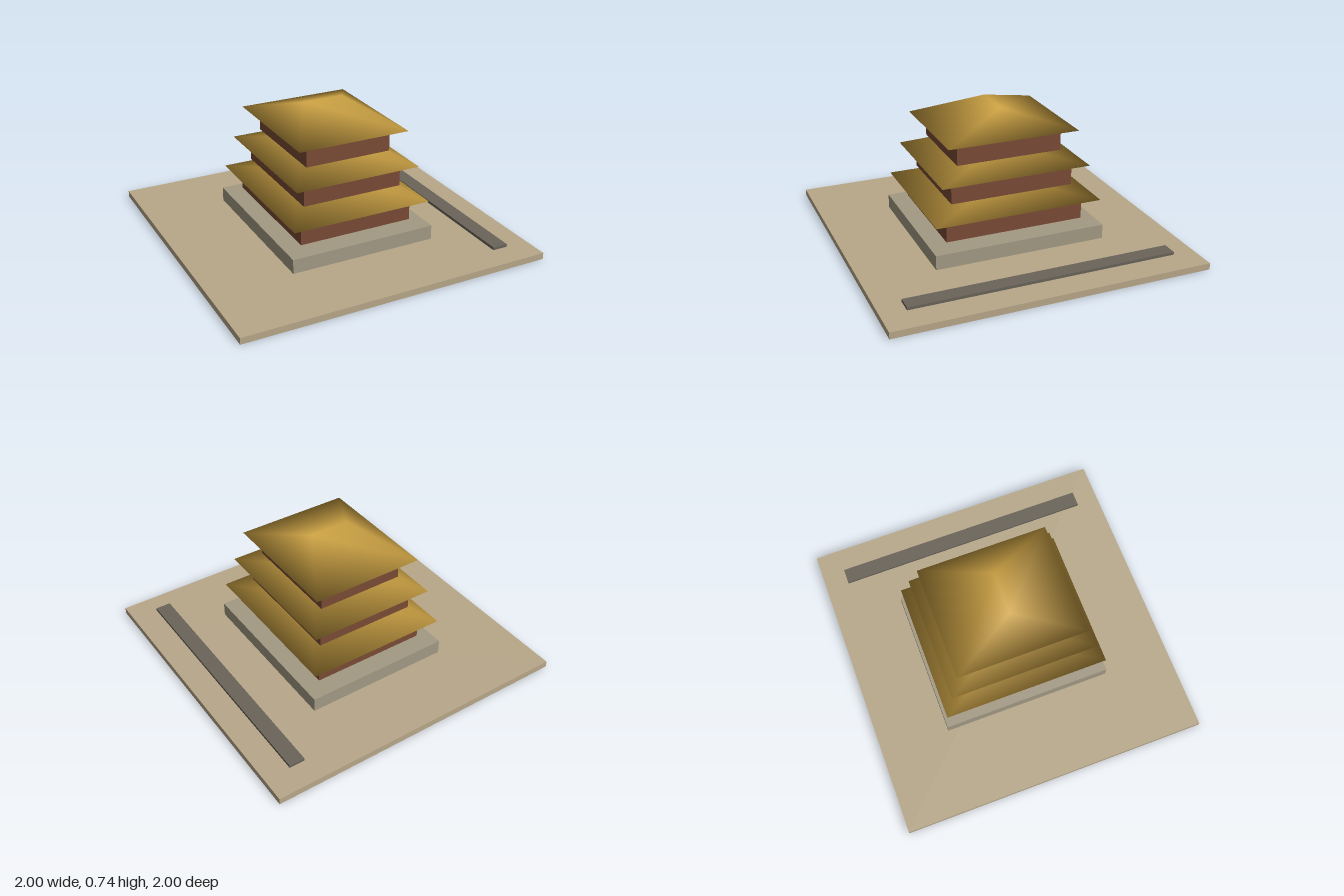
import * as THREE from 'three';

const mat = (color, extra = {}) => {
  const m = new THREE.MeshStandardMaterial(extra);
  m.color.set(color);
  return m;
};

const stone = mat(0xb8a88a);
const plinthStone = mat(0xa39a84);
const wall = mat(0x7a4a35);
const path = mat(0x6a6459);
const gold = mat(0xd0a545, { side: THREE.DoubleSide });

// Box given by its width, depth, bottom and top heights
function block(name, material, w, d, y0, y1, z = 0) {
  const mesh = new THREE.Mesh(new THREE.BoxGeometry(w, y1 - y0, d), material);
  mesh.position.set(0, (y0 + y1) / 2, z);
  mesh.name = name;
  return mesh;
}

// Closed hip roof with a short ridge along z; corners are shared, so shading is smooth
function hipRoof(name, w, d, y, h) {
  const x = w / 2, z = d / 2, r = d * 0.18;
  const geo = new THREE.BufferGeometry();
  geo.setAttribute('position', new THREE.Float32BufferAttribute([
    -x, 0, -z, x, 0, -z, x, 0, z, -x, 0, z, // eave corners
    0, h, -r, 0, h, r, // ridge ends
  ], 3));
  geo.setIndex([
    1, 0, 4, // back slope
    3, 2, 5, // front slope
    0, 3, 4, 3, 5, 4, // right slope
    2, 1, 5, 1, 4, 5, // left slope
    0, 1, 2, 0, 2, 3, // underside
  ]);
  geo.computeVertexNormals();
  const mesh = new THREE.Mesh(geo, gold);
  mesh.position.y = y;
  mesh.name = name;
  return mesh;
}

export function createModel() {
  const model = new THREE.Group();
  model.name = 'pavilion';

  const site = new THREE.Group();
  site.name = 'site';
  site.rotation.y = -0.22;
  model.add(site);

  // Ground slab, path strip at the back and stone plinth
  site.add(
    block('groundSlab', stone, 1.675, 1.675, 0, 0.035),
    block('pathStrip', path, 1.42, 0.083, 0.043, 0.058, -0.66),
    block('plinth', plinthStone, 0.923, 0.796, 0.045, 0.122),
  );

  // Three shrinking storeys, each a walled block under a hip roof
  const storeys = [
    { w: 0.75, d: 0.626, roofW: 0.9, roofD: 0.766 },
    { w: 0.663, d: 0.549, roofW: 0.803, roofD: 0.688 },
    { w: 0.567, d: 0.472, roofW: 0.705, roofD: 0.611 },
  ];
  storeys.forEach((s, i) => {
    const y = 0.141 + i * 0.185;
    const storey = new THREE.Group();
    storey.name = `storey${i + 1}`;
    storey.add(
      block('walls', wall, s.w, s.d, y, y + 0.104),
      hipRoof('roof', s.roofW, s.roofD, y + 0.119, 0.11),
    );
    site.add(storey);
  });

  return model;
}
